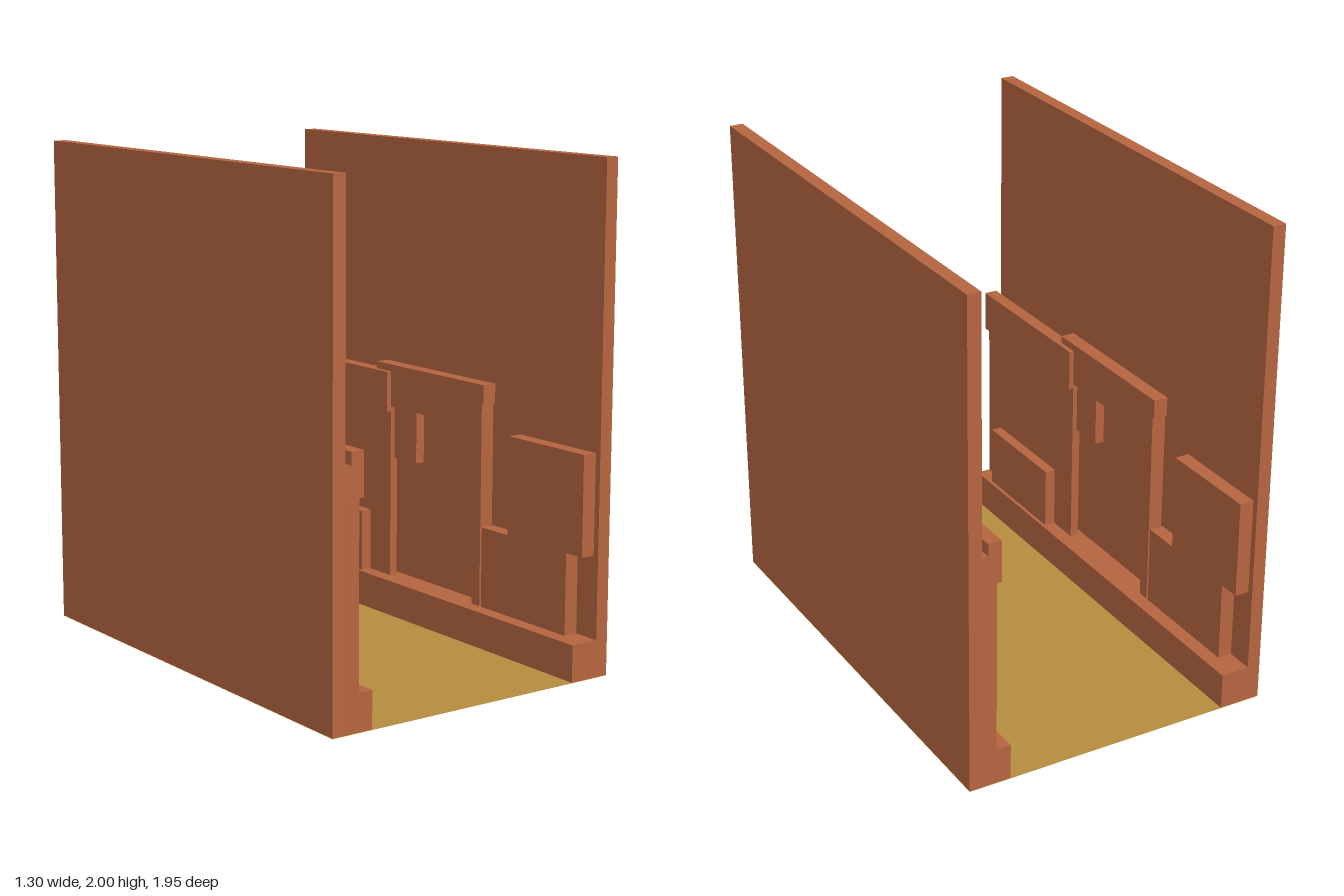
import * as THREE from 'three';

const brown = new THREE.MeshStandardMaterial({ color: 0xb5653f });
const ochre = new THREE.MeshStandardMaterial({ color: 0xb58c3e, side: THREE.DoubleSide });

// Box given by its extents on each axis
function block(name, [x0, x1], [y0, y1], [z0, z1]) {
  const geometry = new THREE.BoxGeometry(x1 - x0, y1 - y0, z1 - z0);
  geometry.translate((x0 + x1) / 2, (y0 + y1) / 2, (z0 + z1) / 2);
  const mesh = new THREE.Mesh(geometry, brown);
  mesh.name = name;
  return mesh;
}

// One wall on the -x side with its inward relief
function createSide(name) {
  const side = new THREE.Group();
  side.name = name;
  const inner = -0.595; // inner face of the wall
  const face = -0.535;  // front of the relief
  const relief = [inner, face];

  side.add(
    block('wall', [-0.65, inner], [0.002, 2], [-0.975, 0.975]),
    block('plinth', [inner, -0.475], [0.002, 0.15], [-0.975, 0.975]),

    // Panelled unit with overhanging top rail and low front box
    block('panelBacking', [inner, -0.57], [0.15, 0.98], [0.36, 0.975]),
    block('panel', [-0.57, face], [0.15, 0.86], [0.26, 0.975]),
    block('panelTopRail', [-0.57, -0.515], [0.86, 1.03], [0.26, 0.975]),
    block('lowBox', [face, -0.49], [0.15, 0.41], [0.4, 0.87]),

    // Framed recess
    block('frameCap', relief, [0.98, 1.06], [-0.35, 0.36]),
    block('frameHeader', relief, [0.88, 0.98], [-0.34, 0.36]),
    block('hangingBlock', [inner, -0.555], [0.66, 0.88], [0.11, 0.3]),

    // Stepped block beside the frame
    block('lowerStep', relief, [0.15, 0.48], [-0.86, -0.35]),
    block('upperStep', relief, [0.48, 0.88], [-0.95, -0.51])
  );
  for (const z of [-0.34, 0.3]) {
    side.add(block('framePost', relief, [0.15, 0.88], [z, z + 0.05]));
  }
  return side;
}

export function createModel() {
  const model = new THREE.Group();
  model.name = 'corridor';

  // Thin floor sheet
  const floor = new THREE.Mesh(new THREE.PlaneGeometry(1.3, 1.95).rotateX(-Math.PI / 2), ochre);
  floor.name = 'floor';

  // The second side is the first turned half way round
  const right = createSide('rightSide');
  const left = createSide('leftSide');
  left.rotation.y = Math.PI;

  model.add(floor, right, left);
  return model;
}
